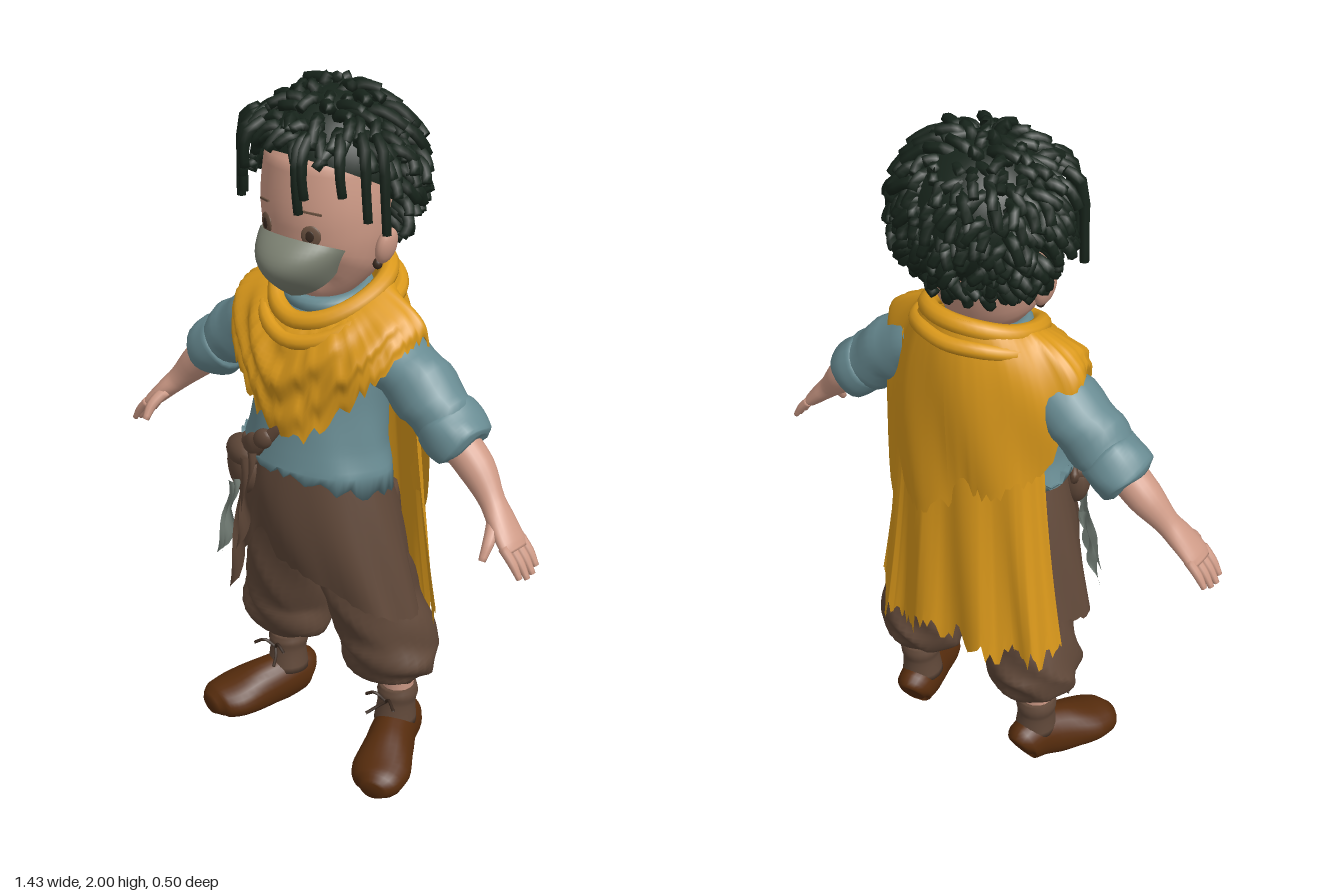
import * as THREE from 'three';
import { mergeGeometries } from 'three/addons/utils/BufferGeometryUtils.js';

const V = (x, y, z) => new THREE.Vector3(x, y, z);
const lerp = THREE.MathUtils.lerp, step = THREE.MathUtils.smoothstep;
const hash = (i) => { const s = Math.sin(i * 127.1 + 3.7) * 43758.5453; return s - Math.floor(s); };

const material = (name, color) => {
  const m = new THREE.MeshStandardMaterial({ color, side: THREE.DoubleSide });
  m.name = name;
  return m;
};

function gridGeometry(points, rows, cols, wrap) {
  const index = [], n = wrap ? cols : cols - 1;
  for (let i = 0; i < rows - 1; i++) for (let j = 0; j < n; j++) {
    const a = i * cols + j, b = i * cols + (j + 1) % cols, c = a + cols, d = b + cols;
    index.push(a, b, d, a, d, c);
  }
  const g = new THREE.BufferGeometry();
  g.setAttribute('position', new THREE.Float32BufferAttribute(points, 3));
  g.setIndex(index);
  g.computeVertexNormals();
  return g;
}

// Closed body swept through elliptical sections [x, y, z, radius along ref, other radius]
function sweep(rows, ref = V(1, 0, 0), sides = 20, per = 4, rule = null) {
  const path = new THREE.CatmullRomCurve3(rows.map((r) => V(r[0], r[1], r[2])));
  const size = new THREE.CatmullRomCurve3(rows.map((r) => V(r[3], r[4], 0)));
  const steps = (rows.length - 1) * per, pts = [];
  for (let i = -1; i <= steps + 1; i++) {
    const t = Math.min(Math.max(i / steps, 0), 1), c = path.getPoint(t), s = size.getPoint(t);
    const k = i < 0 || i > steps ? 0.001 : 1, dir = path.getTangent(t);
    const a = ref.clone().addScaledVector(dir, -ref.dot(dir)).normalize(), b = dir.cross(a);
    for (let j = 0; j < sides; j++) {
      const w = (j / sides) * Math.PI * 2;
      const p = c.clone().addScaledVector(a, Math.cos(w) * s.x * k).addScaledVector(b, Math.sin(w) * s.y * k);
      if (rule) rule(p, w, t);
      pts.push(p.x, p.y, p.z);
    }
  }
  return gridGeometry(pts, steps + 3, sides, true);
}

// Open cloth sheet from a rule of (u, v, column), u and v running 0 to 1, v = 1 at the top
function sheet(fn, cols, rows) {
  const pts = [];
  for (let i = rows; i >= 0; i--) for (let j = 0; j <= cols; j++) pts.push(...fn(j / cols, i / rows, j));
  return gridGeometry(pts, rows + 1, cols + 1, false);
}

export function createModel() {
  const model = new THREE.Group();
  model.name = 'cloakedChild';
  const skin = material('skin', 0xcf9b87), hair = material('hair', 0x17241b), maskGrey = material('maskGrey', 0x7d8273);
  const yellow = material('yellowCloth', 0xdb991b), blue = material('blueCloth', 0x688b92);
  const brown = material('brownCloth', 0x604839), leather = material('shoeLeather', 0x562c0d);
  const dark = material('darkBrown', 0x3a2a20), rag = material('ragGrey', 0x77827a), iris = material('eyeBrown', 0x6a5140);
  const add = (name, geo, mat) => {
    const m = new THREE.Mesh(geo, mat);
    m.name = name;
    model.add(m);
    return m;
  };
  const ball = (name, mat, pos, scale) => {
    const m = add(name, new THREE.SphereGeometry(1, 18, 12), mat);
    m.position.set(...pos);
    m.scale.set(...scale);
    return m;
  };
  const Z = V(0, 0, 1);

  // Head, neck and face
  add('head', sweep([[0, 1.45, 0.11, 0.03, 0.04], [0, 1.48, 0.07, 0.1, 0.1], [0, 1.54, 0.035, 0.154, 0.147],
    [0, 1.62, 0.017, 0.174, 0.168], [0, 1.7, 0.012, 0.178, 0.176], [0, 1.8, 0, 0.17, 0.18],
    [0, 1.88, 0, 0.12, 0.13], [0, 1.92, 0, 0.03, 0.03]], undefined, 32), skin);
  add('neck', new THREE.CylinderGeometry(0.075, 0.085, 0.18, 20).translate(0, 1.46, -0.01), skin);
  for (const s of [-1, 1]) {
    ball('ear', skin, [s * 0.183, 1.59, 0.0], [0.022, 0.052, 0.036]).rotation.z = -s * 0.25;
    ball('earring', dark, [s * 0.163, 1.538, 0.01], [0.013, 0.015, 0.013]);
    ball('eye', iris, [s * 0.075, 1.638, 0.169], [0.027, 0.028, 0.006]).rotation.y = s * 0.4;
    ball('pupil', dark, [s * 0.075, 1.638, 0.174], [0.012, 0.015, 0.003]).rotation.y = s * 0.4;
    const brow = add('eyebrow', new THREE.BoxGeometry(0.05, 0.005, 0.006), iris);
    brow.position.set(s * 0.08, 1.7, 0.17);
    brow.rotation.set(0, s * 0.42, -s * 0.12);
  }
  // Pointed mask that hugs the cheeks
  add('faceMask', sheet((u, v) => {
    const q = u * 2 - 1, w = 1 - v;
    return [lerp(0.11, 0.14, v) * Math.sin(q * 1.35) / Math.sin(1.35),
      lerp(1.455 + 0.075 * Math.abs(q) ** 1.5, 1.628 - 0.03 * q * q, v),
      0.105 + Math.cos(1.5 * q) * (0.088 + 0.058 * Math.sin(Math.PI * w ** 0.9) - 0.028 * w ** 3)];
  }, 24, 14), maskGrey);

  // Hair: scalp cap covered with short springy locks
  const scalp = ball('scalp', hair, [0, 1.77, -0.02], [0.2, 0.2, 0.2]);
  scalp.geometry = new THREE.SphereGeometry(1, 28, 14, 0, Math.PI * 2, 0, Math.PI * 0.55);
  scalp.rotation.x = -0.5;
  const locks = [], core = V(0, 1.755, -0.008), count = 480;
  const lock = (pts, r) => locks.push(sweep(pts.map((p, i) => {
    const k = r * (i === pts.length - 1 ? 0.8 : 1) * (i % 2 ? 1.12 : 0.92);
    return [p.x, p.y, p.z, k, k];
  }), V(0.6, 0.33, 0.73), 6, 2));
  for (let i = 0; i < count; i++) {
    const y = 1 - (2 * (i + 0.5)) / count, q = Math.sqrt(1 - y * y), a = i * 2.39996 + hash(i) * 0.3;
    const d = V(q * Math.cos(a), y, q * Math.sin(a));
    const limit = d.z > 0.45 ? 0.56 : d.z > 0.12 ? lerp(-0.15, 0.56, (d.z - 0.12) / 0.33) : d.z > -0.12 ? -0.22 : -0.72;
    if (y < limit) continue;
    const fall = V(d.x * 0.4 + hash(i + 90) * 1.1 - 0.55, -0.6, d.z * 0.4 + hash(i + 50) * 1.1 - 0.55);
    const at = (r, f) => d.clone().addScaledVector(fall, f).normalize().multiplyScalar(r)
      .multiply(V(1.09, 1, 0.96)).add(core);
    const h = 0.205 + hash(i + 7) * 0.028;
    lock([at(0.16, 0), at(h - 0.012, 0.05), at(h + 0.005, 0.2), at(h + 0.012, 0.34 + hash(i + 31) * 0.14)], 0.0165);
  }
  for (const [x, y] of [[-0.2, 1.68], [-0.24, 1.65], [-0.17, 1.74], [-0.13, 1.78], [0.07, 1.71], [0.085, 1.75],
    [0.165, 1.76], [0.205, 1.69], [0.245, 1.66]]) {
    const z = Math.sqrt(Math.max(0.235 ** 2 - x * x, 0.008)) - 0.005;
    lock([V(x * 0.8, 1.9, z * 0.75), V(x * 0.95, 1.87, z * 0.95), V(x, (1.85 + y) / 2, z), V(x * 1.02, y, z * 0.97)], 0.015);
  }
  add('hairLocks', mergeGeometries(locks), hair);

  // Tunic with a sloping torn hem, and its neckband
  add('tunic', sweep([[0, 1.44, 0, 0.09, 0.08], [0, 1.4, 0, 0.15, 0.11], [0, 1.3, 0.015, 0.21, 0.14], [0, 1.15, 0.04, 0.2, 0.15],
    [0, 1.03, 0.055, 0.21, 0.158], [0, 0.95, 0.06, 0.235, 0.17]], undefined, 64, 5, (p, w, t) => {
    p.x *= 1 + 0.02 * Math.sin(w * 7 + t * 9) * t;
    if (t > 0.99) p.y += -0.15 * p.x + 0.035 * (hash(Math.round(w * 20)) - 0.5);
  }), blue);
  add('neckband', new THREE.TorusGeometry(0.1, 0.022, 10, 32).rotateX(Math.PI / 2 + 0.15).translate(0, 1.432, 0.012), blue);

  // Wrapped overskirt, longer toward the sides
  add('overskirt', sheet((u, v, j) => {
    const a = u * Math.PI * 2 - Math.PI / 2, k = 1 - v, c = Math.cos(a), s = Math.sin(a);
    const slit = 0.1 * Math.exp(-(((c + 0.35) / 0.16) ** 2)) * (s > 0 ? 1 : 0);
    const hem = 0.655 - 0.13 * Math.abs(c) ** 1.5 + slit + 0.014 * (hash(j % 96) - 0.5);
    const wave = 1 + 0.025 * k * Math.sin(a * 8 + k * 3);
    return [c * lerp(0.19, 0.315, k ** 0.9) * wave, lerp(1.0, hem, k),
      0.06 - 0.025 * k + s * (0.14 + 0.035 * Math.sin(k * Math.PI * 0.8)) * wave];
  }, 96, 14), brown);

  // Yellow poncho: point in front, arches over the sleeves, long flap behind
  add('poncho', sheet((u, v, j) => {
    const a = u * Math.PI * 2 - Math.PI / 2, c = Math.cos(a), s = Math.sin(a), k = 1 - v;
    const f = Math.max(0, s), b = Math.max(0, -s), e = 1 - v ** lerp(2, 4.5, Math.abs(s));
    const hem = 1.35 - 0.3 * f ** 2.5 - (0.41 + 0.15 * c) * step(b, 0.08, 0.5)
      + 0.06 * (hash(j % 128) - 0.5) * Math.max(Math.abs(s), 0.5);
    const fold = 0.009 * Math.sin(a * 7 + k * 4) * k
      + 0.012 * f * Math.sin(k * 15 + Math.abs(c) * 9) * Math.sin(k * Math.PI);
    const x = c * (lerp(0.155, lerp(0.305, 0.275, b), e) + fold);
    const depth = s > 0 ? lerp(0.15, 0.245 - 0.03 * k, e) : lerp(0.15, 0.195 - 0.02 * k, e);
    return [x, lerp(1.47 - 0.055 * s - 0.03 * f * f, hem, k), -0.01 + s * (depth + fold)];
  }, 128, 24), yellow);

  // Rolled collar, low in front, high and full behind
  [[0, 0.026, 1], [-0.04, 0.022, 1.2]].forEach(([dy, r, w]) => {
    const pts = [];
    for (let i = 0; i < 12; i++) {
      const a = (i / 12) * Math.PI * 2, s = Math.sin(a);
      pts.push(V(Math.cos(a) * 0.15 * w, 1.453 + dy - 0.04 * s - 0.045 * Math.max(0, s) ** 2 + 0.012 * hash(i + 9 * w),
        -0.01 + s * (s > 0 ? 0.158 : 0.142) * w));
    }
    add('collarFold', new THREE.TubeGeometry(new THREE.CatmullRomCurve3(pts, true), 48, r, 10, true), yellow);
  });

  // Long lower cape wrapping the back, with a frayed hem
  add('lowerCape', sheet((u, v, j) => {
    const q = u * 2 - 1, k = 1 - v, g = 1.45 * q, m = Math.abs(q);
    const hem = 0.47 + 0.06 * step(m, 0.75, 1) - (q > 0 ? 0.05 : 0.01) * Math.sin(Math.PI * m ** 1.5)
      + 0.09 * (hash(j + 200) - 0.5);
    const fold = 0.014 * k * Math.sin(q * 14 + k * 2);
    return [lerp(0.225, 0.315, k ** 1.5) * Math.sin(g), lerp(1.36, hem, k),
      -0.05 - 0.015 * k - Math.cos(g) * lerp(0.115, 0.135, k) + fold];
  }, 72, 16), yellow);

  for (const s of [-1, 1]) {
    const side = (rows) => rows.map((r) => [r[0] * s, ...r.slice(1)]);
    // Sleeve and rolled cuff
    add('sleeve', sweep(side([[0.14, 1.31, 0, 0.085, 0.08], [0.24, 1.275, 0, 0.095, 0.088], [0.33, 1.21, 0, 0.092, 0.092],
      [0.4, 1.15, 0, 0.085, 0.08], [0.43, 1.13, 0, 0.078, 0.073]]), Z, 24, 4,
    (p, w, t) => { p.y += 0.008 * Math.sin(t * 22 + w); }), blue);
    add('sleeveCuff', sweep(side([[0.372, 1.172, 0, 0.07, 0.066], [0.388, 1.16, 0, 0.092, 0.084], [0.422, 1.132, 0, 0.095, 0.087],
      [0.455, 1.106, 0, 0.088, 0.082], [0.465, 1.098, 0, 0.065, 0.06]]), Z, 24, 4,
    (p, w, t) => { p.y += 0.006 * Math.sin(t * 6 + w * 3); }), blue);
    // Forearm, palm, fingers and thumb
    add('forearm', sweep(side([[0.42, 1.13, 0.01, 0.055, 0.055], [0.5, 1.06, 0.01, 0.051, 0.05], [0.565, 0.99, 0.025, 0.036, 0.034],
      [0.6, 0.955, 0.035, 0.044, 0.029], [0.645, 0.908, 0.045, 0.05, 0.022], [0.662, 0.89, 0.046, 0.042, 0.016]]), Z), skin);
    for (let i = 0; i < 4; i++) {
      const z = 0.046 + (i - 1.5) * 0.026, l = [0.85, 0.97, 1, 0.9][i];
      add('finger', sweep(side([[0.645, 0.908, z, 0.013, 0.014], [0.645 + 0.035 * l, 0.908 - 0.037 * l, z, 0.0125, 0.0125],
        [0.645 + 0.063 * l, 0.908 - 0.08 * l, z, 0.008, 0.008]]), Z, 8), skin);
    }
    add('thumb', sweep(side([[0.595, 0.95, 0.06, 0.02, 0.018], [0.61, 0.915, 0.1, 0.016, 0.016],
      [0.612, 0.875, 0.128, 0.01, 0.01]]), V(1, 0, 0), 8), skin);
    // Baggy trouser leg gathered below the knee
    add('trouserLeg', sweep(side([[0.1, 0.85, 0.04, 0.11, 0.14], [0.128, 0.65, 0.025, 0.128, 0.14], [0.155, 0.52, 0, 0.122, 0.135],
      [0.182, 0.42, -0.028, 0.13, 0.135], [0.195, 0.34, -0.04, 0.14, 0.132], [0.208, 0.28, -0.05, 0.115, 0.095],
      [0.213, 0.25, -0.05, 0.06, 0.055]]), undefined, 32, 5, (p, w, t) => {
      p.x += 0.008 * Math.sin(w * 5 + t * 18);
      p.z += 0.008 * Math.cos(w * 4 + t * 24);
    }), brown);
    // Ankle, wrapping and laces
    add('ankle', new THREE.CylinderGeometry(0.05, 0.045, 0.1, 16).translate(s * 0.213, 0.23, -0.045), skin);
    add('ankleWrap', sweep(side([[0.213, 0.225, -0.045, 0.054, 0.054], [0.213, 0.2, -0.045, 0.06, 0.06],
      [0.212, 0.17, -0.043, 0.055, 0.056], [0.21, 0.1, -0.04, 0.062, 0.064]])), brown);
    for (const [x, y, z] of [[0.16, 0.2, 0.035], [0.27, 0.195, 0.045], [0.18, 0.155, 0.06]])
      add('lace', new THREE.TubeGeometry(new THREE.CatmullRomCurve3([V(s * 0.215, 0.185, 0.012),
        V(s * (0.215 + x) / 2, y + 0.015, 0.03), V(s * x, y, z)]), 6, 0.005, 5), dark);
    // Shoe, flat underneath and turned outward
    add('shoe', sweep(side([[0.2, 0.055, -0.112, 0.035, 0.045], [0.203, 0.065, -0.095, 0.056, 0.07], [0.218, 0.065, -0.03, 0.064, 0.08],
      [0.25, 0.05, 0.04, 0.073, 0.08], [0.287, 0.038, 0.12, 0.086, 0.06], [0.31, 0.032, 0.17, 0.07, 0.05],
      [0.318, 0.028, 0.2, 0.035, 0.028]]), V(1, 0, 0), 24, 4,
    (p, w) => { p.y = Math.sin(w) * s === 0 ? p.y : Math.max(p.y, 0); }), leather);
  }

  // Belt, knot, pouch and hanging rags on the right hip
  add('beltStrap', sweep([[0.0, 1.09, 0.205, 0.012, 0.008], [-0.07, 1.02, 0.215, 0.022, 0.012], [-0.15, 0.98, 0.19, 0.022, 0.012],
    [-0.235, 0.95, 0.09, 0.022, 0.012]], V(0, 1, 0), 10), brown);
  ball('beltKnot', brown, [-0.06, 1.035, 0.215], [0.036, 0.028, 0.02]).rotation.z = 0.7;
  ball('pouch', brown, [-0.175, 0.9, 0.165], [0.078, 0.088, 0.048]).rotation.y = -0.5;
  ball('pouchFlap', brown, [-0.172, 0.945, 0.172], [0.08, 0.045, 0.047]).rotation.set(0, -0.5, 0.15);
  const strip = (x, y0, y1, z, w, mat) => add('hangingStrip', sheet((u, v) => [
    x + (u - 0.5) * w * (0.7 + 0.3 * (1 - v)) - 0.05 * (1 - v) + 0.008 * Math.sin(v * 9),
    lerp(y1 + (u - 0.5) * 0.05, y0, v), z + 0.008 * Math.sin(v * 7 + u * 3)], 4, 10), mat);
  strip(-0.09, 0.99, 0.68, 0.232, 0.035, brown);
  strip(-0.12, 0.96, 0.54, 0.228, 0.04, brown);
  strip(-0.16, 0.88, 0.64, 0.22, 0.03, rag);
  strip(-0.205, 0.84, 0.6, 0.185, 0.05, rag);
  strip(-0.24, 0.8, 0.58, 0.14, 0.03, rag);
  return model;
}
